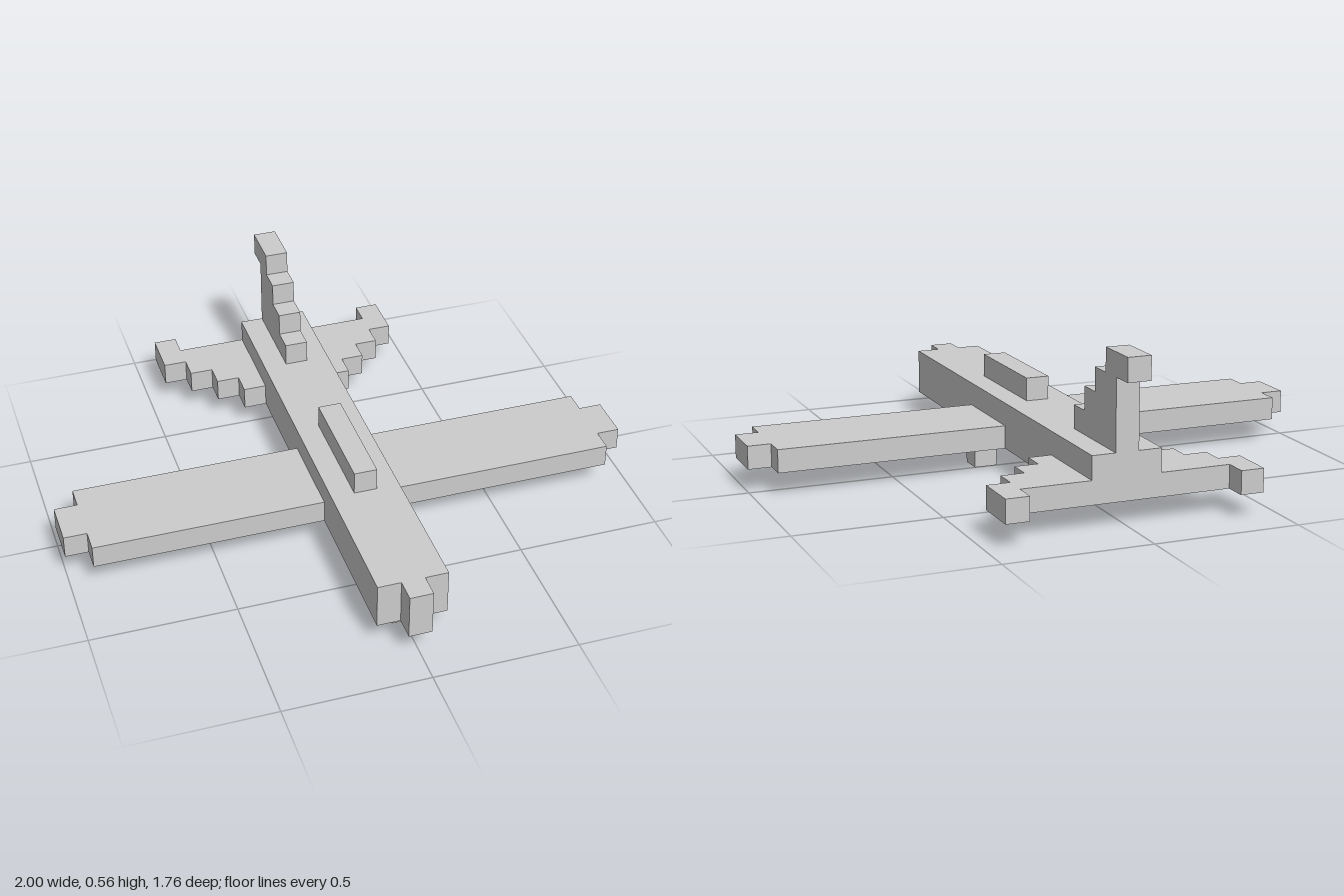
import * as THREE from 'three';

const U = 0.08; // size of one block; all coordinates below are in blocks
const material = new THREE.MeshStandardMaterial({ color: 0xcccccc, flatShading: true });

function add(parent, name, geometry) {
  const mesh = new THREE.Mesh(geometry, material);
  mesh.name = name;
  parent.add(mesh);
  return mesh;
}

// Box given by its low and high corners
function block(parent, name, [x0, y0, z0], [x1, y1, z1]) {
  const g = new THREE.BoxGeometry((x1 - x0) * U, (y1 - y0) * U, (z1 - z0) * U);
  g.translate((x0 + x1) / 2 * U, (y0 + y1) / 2 * U, (z0 + z1) / 2 * U);
  return add(parent, name, g);
}

function extrude(points, depth) {
  const shape = new THREE.Shape(points.map(([a, b]) => new THREE.Vector2(a * U, b * U)));
  return new THREE.ExtrudeGeometry(shape, { depth: depth * U, bevelEnabled: false });
}

// Plan outline (x, z) made into a slab between heights y0 and y1
function slab(parent, name, points, y0, y1) {
  const g = extrude(points, y1 - y0).rotateX(Math.PI / 2).translate(0, y1 * U, 0);
  return add(parent, name, g);
}

export function createModel() {
  const plane = new THREE.Group();
  plane.name = 'airplane';

  // Body with a stubby nose block
  slab(plane, 'fuselage', [
    [-1.5, -10], [1.5, -10], [1.5, 10], [0.5, 10],
    [0.5, 11], [-0.5, 11], [-0.5, 10], [-1.5, 10],
  ], 1, 3);
  block(plane, 'canopy', [-0.5, 3, -1], [0.5, 4, 4]);

  // Stepped tail fin, outline in (z, y)
  const fin = extrude([
    [-10, 3], [-6, 3], [-6, 4], [-7, 4], [-7, 5], [-8, 5],
    [-8, 6], [-9, 6], [-9, 7], [-11, 7], [-11, 6], [-10, 6],
  ], 1).rotateY(-Math.PI / 2).translate(0.5 * U, 0, 0);
  add(plane, 'tailFin', fin);

  // Mirrored wings, stepped tailplanes and main wheels
  for (const [side, s] of [['left', 1], ['right', -1]]) {
    const mirror = (points) => points.map(([x, z]) => [x * s, z]);
    slab(plane, side + 'Wing', mirror([
      [1.5, -1], [11.5, -1], [11.5, 0], [12.5, 0],
      [12.5, 2], [11.5, 2], [11.5, 3], [1.5, 3],
    ]), 1, 2);
    slab(plane, side + 'Tailplane', mirror([
      [1.5, -10], [4.5, -10], [4.5, -11], [5.5, -11], [5.5, -9], [4.5, -9],
      [4.5, -8], [3.5, -8], [3.5, -7], [2.5, -7], [2.5, -6], [1.5, -6],
    ]), 1, 2);
    block(plane, side + 'Wheel', [s * 2 - 0.5, 0, 0], [s * 2 + 0.5, 1, 1]);
  }
  block(plane, 'noseWheel', [-0.5, 0, 8], [0.5, 1, 9]);

  return plane;
}
